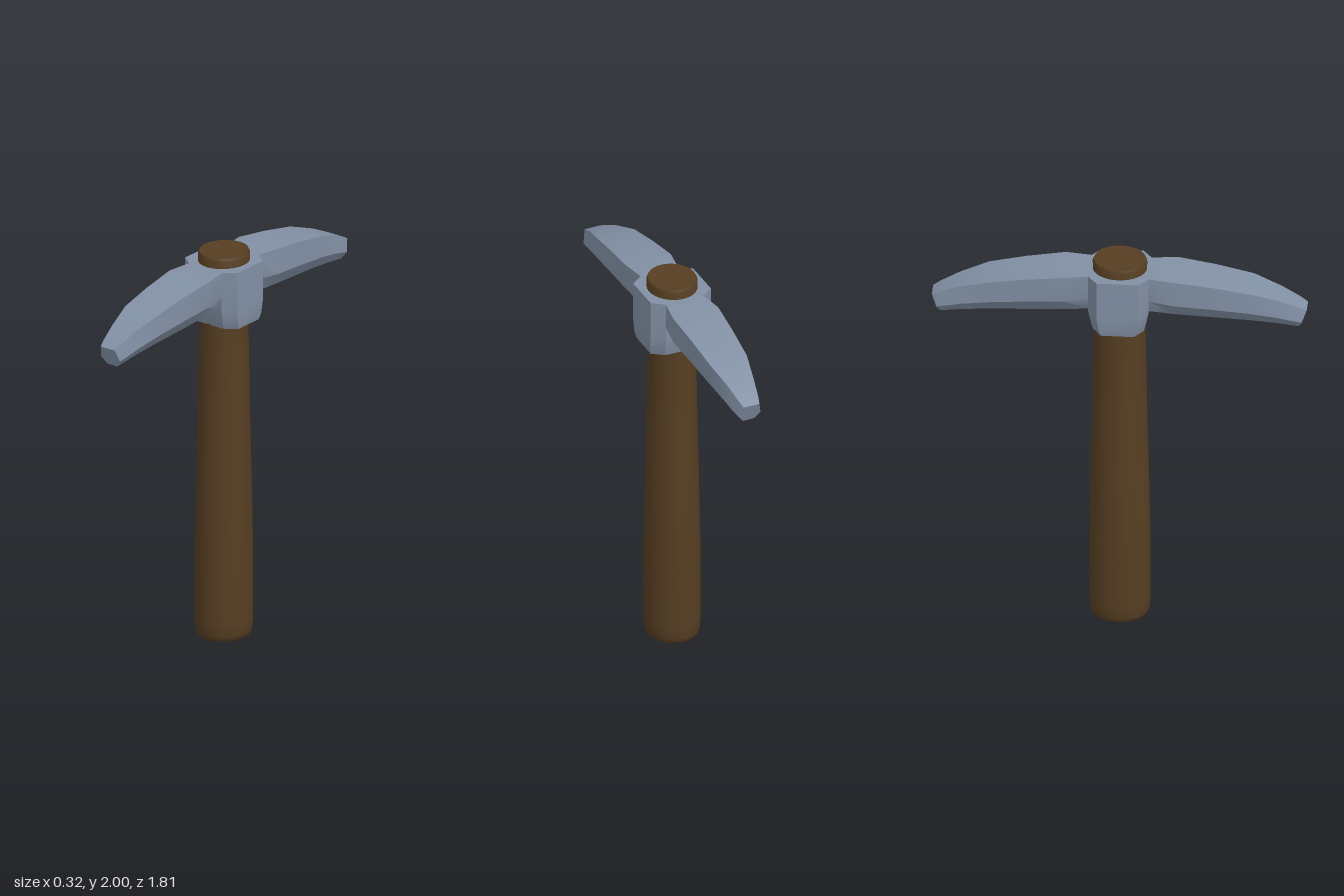
import * as THREE from 'three';
import { toCreasedNormals } from 'three/addons/utils/BufferGeometryUtils.js';

// Skin a list of equal-length rings (counter-clockwise about the sweep direction), capped at both ends
function loft(rings, crease) {
  const n = rings[0].length;
  const index = [];
  for (let r = 0; r < rings.length - 1; r++) {
    for (let i = 0; i < n; i++) {
      const a = r * n + i, b = r * n + (i + 1) % n;
      index.push(a, b, b + n, a, b + n, a + n);
    }
  }
  const last = (rings.length - 1) * n;
  for (let i = 1; i < n - 1; i++) {
    index.push(0, i + 1, i);
    index.push(last, last + i, last + i + 1);
  }
  const geometry = new THREE.BufferGeometry();
  geometry.setAttribute('position', new THREE.Float32BufferAttribute(rings.flat(2), 3));
  geometry.setIndex(index);
  return toCreasedNormals(geometry, crease);
}

export function createModel() {
  const wood = new THREE.MeshStandardMaterial({ color: 0x563e22 });
  const steel = new THREE.MeshStandardMaterial({ color: 0x8290a5 });
  const group = new THREE.Group();
  const add = (name, geometry, material) => {
    const mesh = new THREE.Mesh(geometry, material);
    mesh.name = name;
    group.add(mesh);
    return mesh;
  };

  // Oval handle, tapering to the head and flaring again inside it
  const profile = [
    [0, 0], [0.1, 0.004], [0.125, 0.014], [0.134, 0.04], [0.136, 0.1], [0.136, 0.45],
    [0.13, 0.8], [0.121, 1.2], [0.114, 1.65], [0.121, 1.9], [0.122, 1.985], [0.116, 2], [0, 1.99],
  ].map(([r, y]) => new THREE.Vector2(r, y));
  const handleGeometry = toCreasedNormals(
    new THREE.LatheGeometry(profile, 32).scale(1, 1, 1.08), 0.9);
  add('handle', handleGeometry, wood);

  // Eight-sided collar: height, half width, half depth, corner width, corner depth
  const collarRings = [
    [1.65, 0.15, 0.08, 0.09, 0.122],
    [1.68, 0.157, 0.09, 0.095, 0.13],
    [1.75, 0.16, 0.1, 0.1, 0.145],
    [1.95, 0.16, 0.1, 0.1, 0.145],
  ].map(([y, w, d, cw, cd]) => [
    [w, y, d], [w, y, -d], [cw, y, -cd], [-cw, y, -cd],
    [-w, y, -d], [-w, y, d], [-cw, y, cd], [cw, y, cd],
  ]);
  add('collar', loft(collarRings, 0.5), steel);

  // Curved blade: top z, top y, bottom z, bottom y, half width at top, at side, at bottom
  const bladeRings = [
    [0.08, 1.95, 0.08, 1.71, 0.1, 0.1, 0.07],
    [0.145, 1.95, 0.145, 1.745, 0.1, 0.1, 0.06],
    [0.27, 1.948, 0.27, 1.735, 0.12, 0.12, 0.06],
    [0.46, 1.922, 0.45, 1.724, 0.11, 0.11, 0.055],
    [0.64, 1.888, 0.62, 1.714, 0.099, 0.1, 0.05],
    [0.78, 1.84, 0.75, 1.701, 0.07, 0.083, 0.044],
    [0.87, 1.797, 0.835, 1.687, 0.052, 0.069, 0.037],
    [0.905, 1.777, 0.868, 1.679, 0.042, 0.058, 0.03],
  ].map(([zt, yt, zb, yb, wt, ws, wb]) => {
    const zs = zt + (zb - zt) * 0.62, ys = yt + (yb - yt) * 0.62;
    return [
      [wt, yt, zt], [-wt, yt, zt], [-ws, ys, zs],
      [-wb, yb, zb], [wb, yb, zb], [ws, ys, zs],
    ];
  });
  const bladeGeometry = loft(bladeRings, 0.6);
  add('frontBlade', bladeGeometry, steel);
  add('backBlade', bladeGeometry, steel).rotation.y = Math.PI;

  return group;
}
